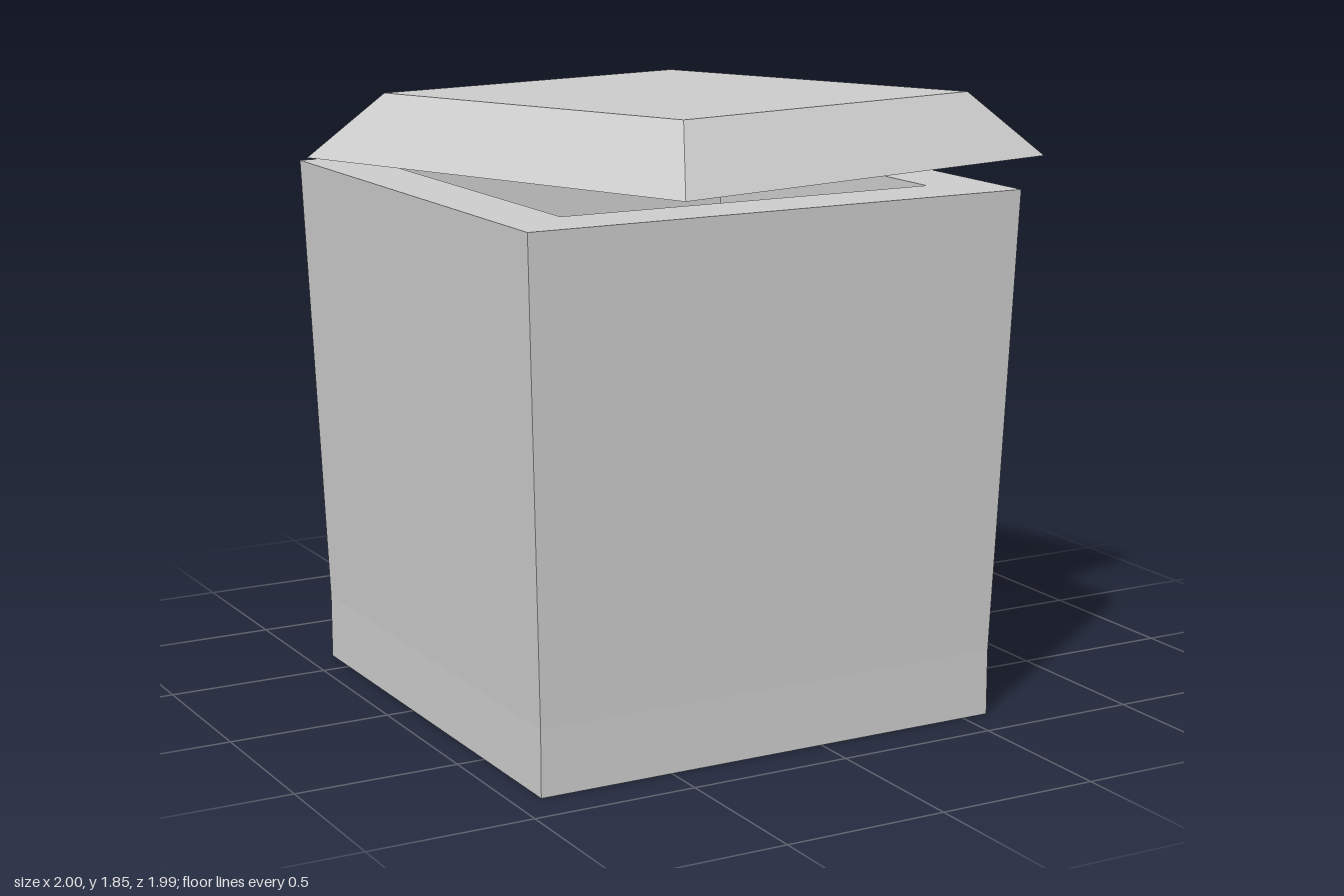
import * as THREE from 'three';

const material = new THREE.MeshStandardMaterial({ color: 0xcccccc, flatShading: true });

// Square solid from a profile of [half width, height] points
function squareLathe(name, profile) {
  const points = profile.map(([half, y]) => new THREE.Vector2(half * Math.SQRT2, y));
  const geometry = new THREE.LatheGeometry(points, 4, Math.PI / 4).toNonIndexed();
  geometry.computeVertexNormals();
  const mesh = new THREE.Mesh(geometry, material);
  mesh.name = name;
  return mesh;
}

export function createModel() {
  const model = new THREE.Group();
  model.name = 'lidded box';

  // Tapered box with a straight foot, thick rim and hollow inside
  const box = squareLathe('box', [
    [0, 0], [0.75, 0], [0.75, 0.2], [0.797, 1.6],
    [0.6, 1.6], [0.565, 0.2], [0, 0.2],
  ]);
  box.position.set(-0.165, 0, 0.118);
  model.add(box);

  // Solid bevelled lid, turned and slightly tilted on the rim
  const lid = squareLathe('lid', [[0, 0], [0.798, 0], [0.629, 0.197], [0, 0.197]]);
  const up = new THREE.Vector3(0, 1, 0);
  const tilt = new THREE.Vector3(0.0133, 1, -0.0252).normalize();
  lid.quaternion.setFromUnitVectors(up, tilt)
    .multiply(new THREE.Quaternion().setFromAxisAngle(up, 0.299));
  lid.position.set(0, 1.628, -0.003);
  model.add(lid);

  return model;
}
